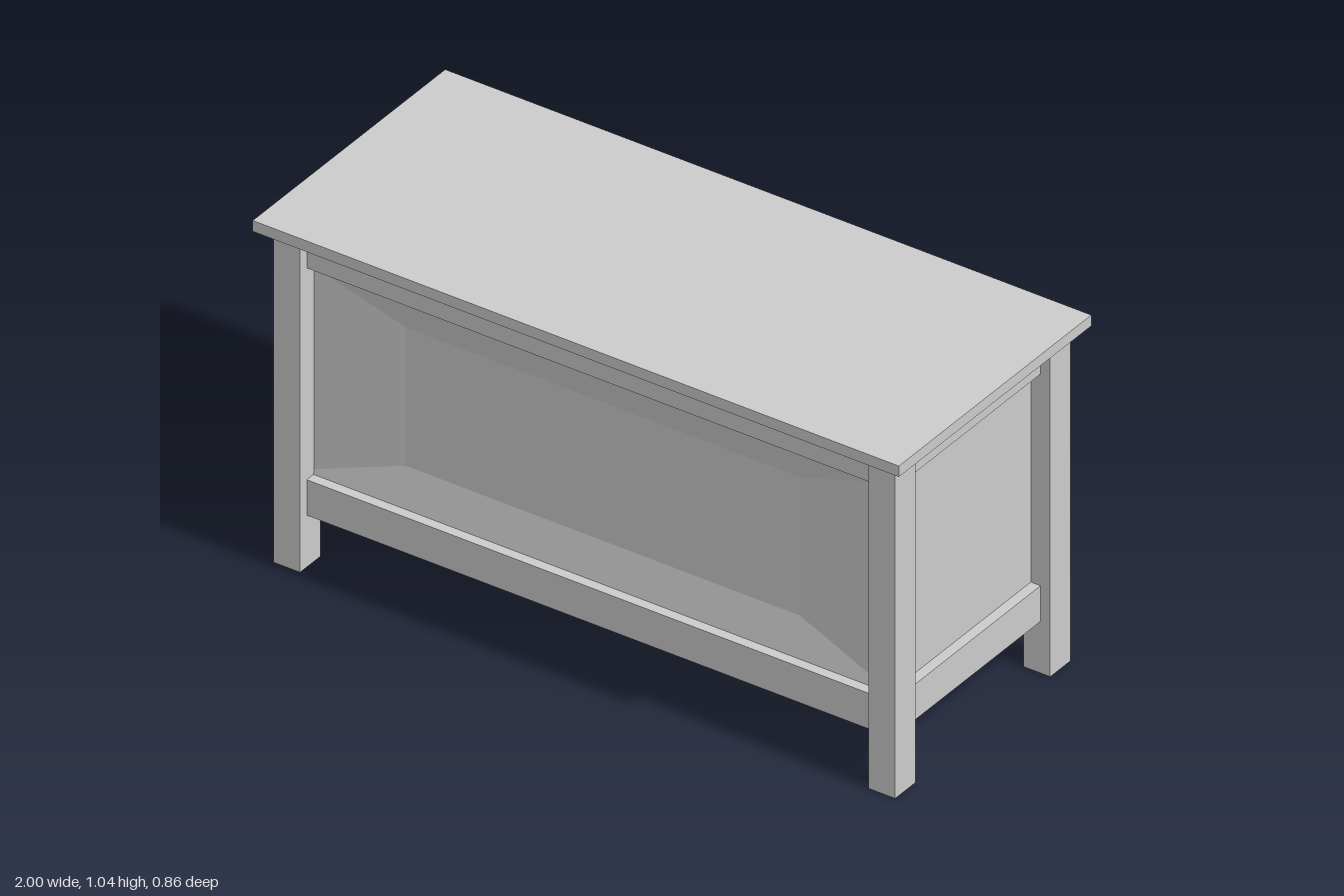
import * as THREE from 'three';

const material = new THREE.MeshStandardMaterial({
  color: 0xcccccc, flatShading: true, side: THREE.DoubleSide,
});

// Mesh from four-cornered faces, corners counter-clockwise seen from outside
function sheet(name, quads) {
  const pos = [];
  for (const [a, b, c, d] of quads) pos.push(...a, ...b, ...c, ...a, ...c, ...d);
  const g = new THREE.BufferGeometry();
  g.setAttribute('position', new THREE.Float32BufferAttribute(pos, 3));
  g.computeVertexNormals();
  const m = new THREE.Mesh(g, material);
  m.name = name;
  return m;
}

// Sweeps a profile of [y, z] points across the width 2w, facing +z
function strip(name, w, profile) {
  const quads = [];
  for (let i = 0; i + 1 < profile.length; i++) {
    const [y0, z0] = profile[i], [y1, z1] = profile[i + 1];
    quads.push([[-w, y0, z0], [w, y0, z0], [w, y1, z1], [-w, y1, z1]]);
  }
  return sheet(name, quads);
}

const LEG_X = 0.962, LEG_Z = 0.39, IN_X = 0.88, IN_Z = 0.3;
const RAIL = 0.03, PANEL = 0.06; // setbacks from the leg faces
const Y = { bottom: 0.157, low: 0.265, high: 0.907, top: 1.01 };

// Panel sunk by sloping borders to a flat middle
function sunkenPanel(name, z) {
  const ring = (w, y0, y1, z) => [[-w, y0, z], [w, y0, z], [w, y1, z], [-w, y1, z]];
  const outer = ring(0.92, Y.low, Y.high, z);
  const inner = ring(0.61, 0.38, 0.8, z - 0.022);
  const quads = [inner];
  for (let i = 0; i < 4; i++) {
    const j = (i + 1) % 4;
    quads.push([outer[i], outer[j], inner[j], inner[i]]);
  }
  return sheet(name, quads);
}

// One side of the chest: lower rail, panel and upper rail
function wall(name, w, face, angle, sunken) {
  const rail = face - RAIL, panel = face - PANEL;
  const g = new THREE.Group();
  g.name = name;
  g.add(strip('lowerRail', w, [[Y.bottom, rail], [Y.low, rail], [Y.low, panel]]));
  g.add(strip('upperRail', w, [[Y.high, panel], [Y.high, rail], [Y.top, rail]]));
  g.add(sunken ? sunkenPanel('panel', panel)
    : strip('panel', w, [[Y.low, panel], [Y.high, panel]]));
  g.rotation.y = angle;
  return g;
}

// Square hollow leg, open at the foot
function leg(name, sx, sz) {
  const hx = (LEG_X - IN_X) / 2, hz = (LEG_Z - IN_Z) / 2;
  const c = [[-hx, hz], [hx, hz], [hx, -hz], [-hx, -hz]];
  const quads = c.map(([x, z], i) => {
    const [x2, z2] = c[(i + 1) % 4];
    return [[x, 0, z], [x2, 0, z2], [x2, Y.top, z2], [x, Y.top, z]];
  });
  const m = sheet(name, quads);
  m.position.set(sx * (LEG_X + IN_X) / 2, 0, sz * (LEG_Z + IN_Z) / 2);
  return m;
}

export function createModel() {
  const model = new THREE.Group();
  model.name = 'chest';

  // Overhanging lid
  const lid = new THREE.Mesh(new THREE.BoxGeometry(2, 0.033, 0.856), material);
  lid.name = 'lid';
  lid.position.y = Y.top + 0.0165;
  model.add(lid);

  // Corner legs
  for (const sx of [-1, 1]) for (const sz of [-1, 1]) {
    model.add(leg((sz > 0 ? 'front' : 'back') + (sx > 0 ? 'Left' : 'Right') + 'Leg', sx, sz));
  }

  // Walls between the legs
  model.add(wall('frontWall', IN_X, LEG_Z, 0, true));
  model.add(wall('backWall', IN_X, LEG_Z, Math.PI, false));
  model.add(wall('leftWall', IN_Z, LEG_X, Math.PI / 2, false));
  model.add(wall('rightWall', IN_Z, LEG_X, -Math.PI / 2, false));
  return model;
}
